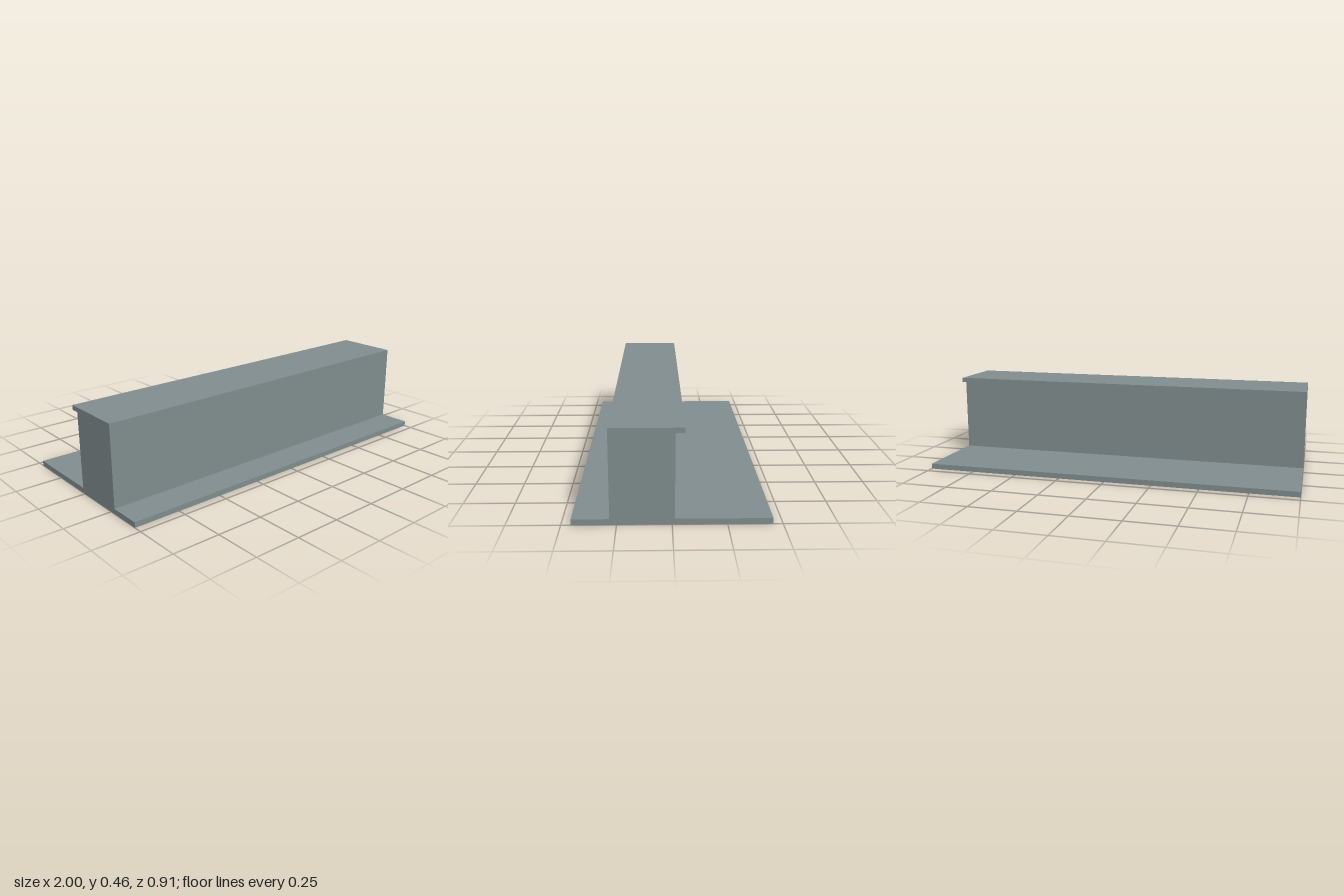
import * as THREE from 'three';

const LENGTH = 2;

// Cross-section as [z, y] corners: base flange, box web and rear top lip
const PROFILE = [
  [-0.455, 0], [0.455, 0], [0.455, 0.028], [0.282, 0.028],
  [0.282, 0.455], [-0.057, 0.455], [-0.057, 0.43], [-0.013, 0.43],
  [-0.013, 0.028], [-0.455, 0.028],
];

export function createModel() {
  const steel = new THREE.MeshStandardMaterial({ color: 0x7f8c8d });
  steel.name = 'grey steel';

  // Extrude the section, then turn it so the length runs along x
  const section = new THREE.Shape(PROFILE.map(([z, y]) => new THREE.Vector2(z, y)));
  const geometry = new THREE.ExtrudeGeometry(section, { depth: LENGTH, bevelEnabled: false });
  geometry.translate(0, 0, -LENGTH / 2);
  geometry.rotateY(-Math.PI / 2);

  const beam = new THREE.Mesh(geometry, steel);
  beam.name = 'flangedBeam';

  const model = new THREE.Group();
  model.name = 'beam';
  model.add(beam);
  return model;
}
